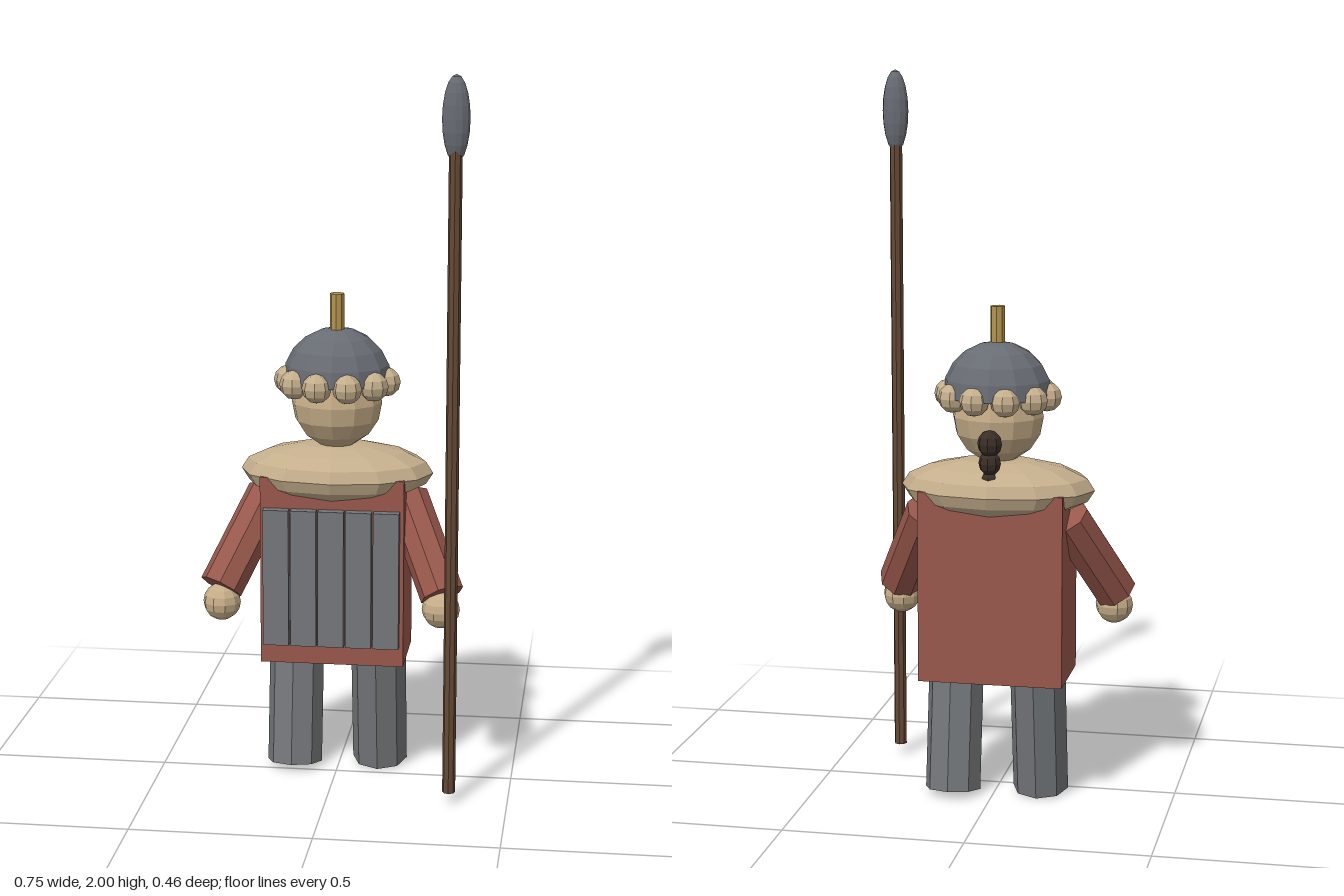
import * as THREE from 'three';

const mat = (name, color, extra = {}) => {
  const m = new THREE.MeshStandardMaterial({ color, flatShading: true, ...extra });
  m.name = name;
  return m;
};

export function createModel() {
  const model = new THREE.Group();
  model.name = 'spearman';

  const red = mat('red cloth', 0x99584c);
  const iron = mat('iron', 0x686c73, { side: THREE.DoubleSide });
  const trouser = mat('grey trousers', 0x74777a);
  const fur = mat('fur', 0xc4ae8c);
  const skin = mat('skin', 0xc6ad88);
  const wood = mat('wood', 0x664a36);
  const brass = mat('brass', 0xb4944e);
  const hair = mat('dark hair', 0x3a2e27);

  const CX = -0.005; // figure's own centre line
  const CZ = -0.06;

  const add = (name, geometry, material, x, y, z) => {
    const mesh = new THREE.Mesh(geometry, material);
    mesh.name = name;
    mesh.position.set(x, y, z);
    model.add(mesh);
    return mesh;
  };
  const ellipsoid = (rx, ry, rz, w = 12, h = 8) =>
    new THREE.SphereGeometry(1, w, h).scale(rx, ry, rz);

  // Coat and the upright armour slats on its chest
  add('coat', new THREE.BoxGeometry(0.402, 0.535, 0.24), red, CX, 0.608, CZ);
  for (let i = -2; i <= 2; i++) {
    add('armourSlat', new THREE.BoxGeometry(0.072, 0.39, 0.033), trouser, CX + i * 0.077, 0.594, 0.0715);
  }

  // Legs in mid-stride, sleeves and hands, mirrored left and right
  const up = new THREE.Vector3(0, 1, 0);
  for (const s of [-1, 1]) {
    const leg = add('leg', new THREE.CylinderGeometry(0.078, 0.078, 0.4, 8), trouser, CX + s * 0.12, 0.21, -0.073);
    leg.rotation.x = s * 0.15;

    const shoulder = new THREE.Vector3(CX + s * 0.195, 0.8, -0.07);
    const wrist = new THREE.Vector3(CX + s * 0.31, 0.56, 0.075);
    const along = shoulder.clone().sub(wrist);
    const mid = shoulder.clone().add(wrist).multiplyScalar(0.5);
    const sleeve = add('sleeve', new THREE.CylinderGeometry(0.062, 0.062, along.length(), 8), red, mid.x, mid.y, mid.z);
    sleeve.quaternion.setFromUnitVectors(up, along.normalize());
    add('hand', ellipsoid(0.053, 0.053, 0.053, 10, 8), skin, CX + s * 0.307, 0.52, 0.078);
  }

  // Fur mantle over the shoulders
  add('furMantle', ellipsoid(0.271, 0.084, 0.17), fur, CX, 0.873, CZ);

  // Head, domed helmet, fur trim and finial
  add('head', ellipsoid(0.127, 0.13, 0.12), skin, CX, 1.073, -0.055);
  add('helmet', new THREE.SphereGeometry(1, 12, 5, 0, Math.PI * 2, 0, Math.PI / 2).scale(0.153, 0.15, 0.137),
    iron, CX, 1.13, -0.066);
  for (let i = 0; i < 10; i++) {
    const a = (i / 10) * Math.PI * 2;
    add('furTrim', ellipsoid(0.041, 0.041, 0.041, 8, 6), fur,
      CX + Math.cos(a) * 0.137, 1.13, CZ + Math.sin(a) * 0.122);
  }
  add('finial', new THREE.CylinderGeometry(0.02, 0.02, 0.12, 8), brass, CX, 1.316, CZ);

  // Braid of tapering beads down the nape
  for (let i = 0; i < 3; i++) {
    const r = 0.034 - i * 0.003;
    add('braid', ellipsoid(r, r * 1.1, r, 8, 6), hair, CX, 1.015 - i * 0.053, -0.174);
  }

  // Spear held upright beside the left hand
  add('spearShaft', new THREE.CylinderGeometry(0.018, 0.018, 1.77, 8), wood, 0.339, 0.917, 0.2);
  add('spearHead', ellipsoid(0.037, 0.115, 0.029, 12, 10), iron, 0.339, 1.885, 0.198);

  return model;
}
